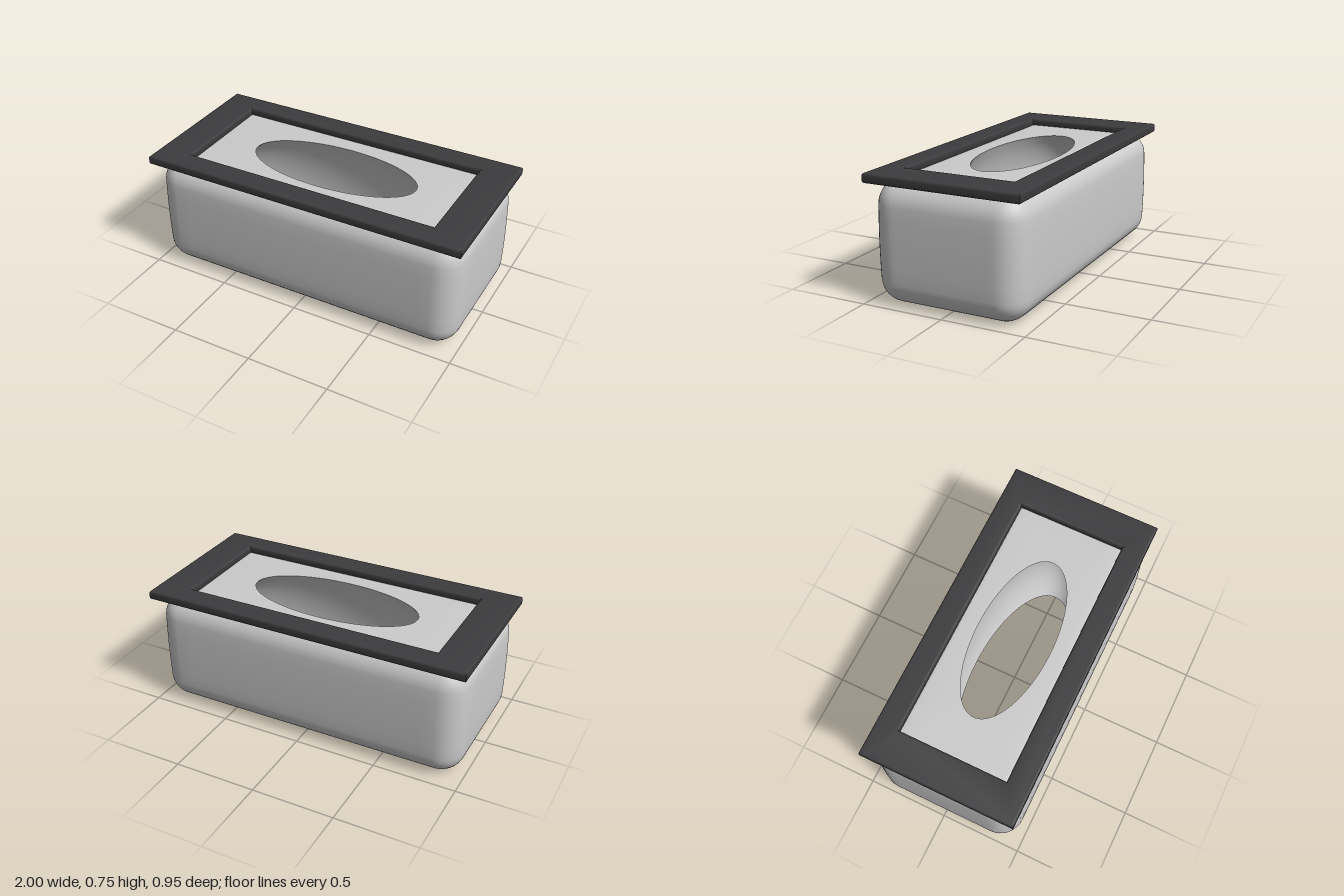
import * as THREE from 'three';
import { toCreasedNormals } from 'three/addons/utils/BufferGeometryUtils.js';

const HALF_X = 0.973, HALF_Z = 0.449, HEIGHT = 0.71, RADIUS = 0.138;
// Ellipsoid hollow that opens through the top and the bottom
const HOLLOW = { x: 0.75, y: 0.568, z: 0.321, centreY: 0.308 };

// Columns around the body: a point on the inner rectangle, an outward direction and a hollow angle
function makeColumns() {
  const cx = HALF_X - RADIUS, cz = HALF_Z - RADIUS, cols = [];
  const corners = [[1, 1], [-1, 1], [-1, -1], [1, -1]];
  const add = (x, z, dir) => {
    const dx = Math.cos(dir), dz = Math.sin(dir);
    const angle = Math.atan2((z + dz * RADIUS) / HALF_Z, (x + dx * RADIUS) / HALF_X);
    cols.push({ x, z, dx, dz, angle });
  };
  corners.forEach(([sx, sz], k) => {
    for (let i = 0; i <= 8; i++) add(sx * cx, sz * cz, (k + i / 8) * Math.PI / 2);
    const [nx, nz] = corners[(k + 1) % 4];
    for (let i = 1; i < 20; i++) {
      const t = i / 20;
      add(THREE.MathUtils.lerp(sx, nx, t) * cx, THREE.MathUtils.lerp(sz, nz, t) * cz, (k + 1) * Math.PI / 2);
    }
  });
  return cols;
}

// Soft rounded block, hollowed from top to bottom
function makeBody() {
  const cols = makeColumns(), rings = [];
  const hollow = y => {
    const s = Math.sqrt(1 - ((y - HOLLOW.centreY) / HOLLOW.y) ** 2);
    return cols.map(c => [HOLLOW.x * s * Math.cos(c.angle), y, HOLLOW.z * s * Math.sin(c.angle)]);
  };
  const outline = (rho, y) => {
    const bulge = 0.011 * (1 - ((2 * y) / HEIGHT - 1) ** 2);
    return cols.map(c => [c.x + c.dx * (rho + bulge), y, c.z + c.dz * (rho + bulge)]);
  };
  // Bottom edge, sides and top edge
  for (let i = 0; i <= 8; i++) {
    const a = i / 8 * Math.PI / 2;
    rings.push(outline(RADIUS * Math.sin(a), RADIUS * (1 - Math.cos(a))));
  }
  for (let i = 1; i < 6; i++) rings.push(outline(RADIUS, RADIUS + (HEIGHT - 2 * RADIUS) * i / 6));
  for (let i = 0; i <= 8; i++) {
    const a = i / 8 * Math.PI / 2;
    rings.push(outline(RADIUS * Math.cos(a), HEIGHT - RADIUS * (1 - Math.sin(a))));
  }
  // Inner wall, from the top opening down to the bottom one
  for (let i = 0; i <= 16; i++) rings.push(hollow(HEIGHT * (1 - i / 16)));

  const n = cols.length, index = [];
  for (let i = 0; i < rings.length; i++) {
    const next = (i + 1) % rings.length; // the last ring joins the first as the underside
    for (let j = 0; j < n; j++) {
      const k = (j + 1) % n;
      const a = i * n + j, b = next * n + j, c = next * n + k, d = i * n + k;
      index.push(a, b, d, b, c, d);
    }
  }
  const geo = new THREE.BufferGeometry();
  geo.setAttribute('position', new THREE.Float32BufferAttribute(rings.flat(2), 3));
  geo.setIndex(index);
  return toCreasedNormals(geo, 0.8);
}

// Flat rectangular rim with softened edges
function makeFrame() {
  const rect = (path, x, z) =>
    path.moveTo(-x, -z).lineTo(x, -z).lineTo(x, z).lineTo(-x, z).closePath();
  const shape = rect(new THREE.Shape(), 1, 0.473);
  shape.holes.push(rect(new THREE.Path(), 0.787, 0.332));
  const bevel = 0.014, bottom = 0.695, top = 0.752;
  const geo = new THREE.ExtrudeGeometry(shape, {
    depth: top - bottom - 2 * bevel,
    bevelThickness: bevel, bevelSize: bevel, bevelOffset: -bevel, bevelSegments: 4,
  });
  geo.rotateX(-Math.PI / 2).translate(0, bottom + bevel, 0);
  return toCreasedNormals(geo, 0.6);
}

export function createModel() {
  const group = new THREE.Group();
  const body = new THREE.Mesh(makeBody(), new THREE.MeshStandardMaterial({ color: 0xcccccc }));
  body.name = 'body';
  const frame = new THREE.Mesh(makeFrame(), new THREE.MeshStandardMaterial({ color: 0x3c3c3e }));
  frame.name = 'topFrame';
  group.add(body, frame);
  return group;
}
